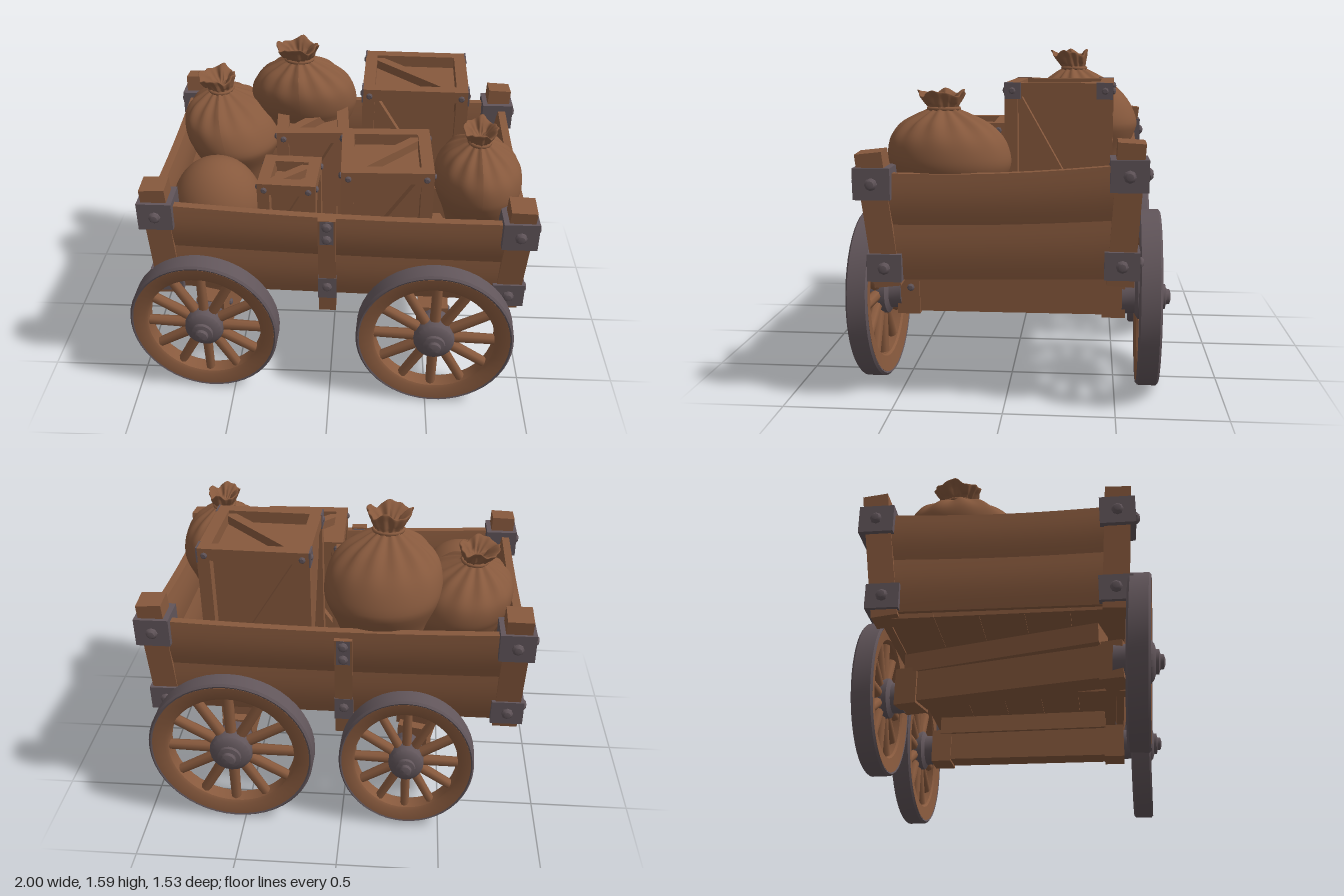
import * as THREE from 'three';
import { toCreasedNormals } from 'three/addons/utils/BufferGeometryUtils.js';

const wood = new THREE.MeshStandardMaterial({ color: 0x87593d });
const iron = new THREE.MeshStandardMaterial({ color: 0x61555a });
wood.name = 'brownWood';
iron.name = 'greyIron';

const V = (x, y, z) => new THREE.Vector3(x, y, z);

function add(parent, name, geometry, material, x = 0, y = 0, z = 0) {
  const mesh = new THREE.Mesh(geometry, material);
  mesh.name = name;
  mesh.position.set(x, y, z);
  parent.add(mesh);
  return mesh;
}

const box = (parent, name, w, h, d, material, x, y, z) =>
  add(parent, name, new THREE.BoxGeometry(w, h, d), material, x, y, z);

// Surface of revolution with sharp steps, axis along z
function turned(profile, segments) {
  const g = new THREE.LatheGeometry(profile.map(p => new THREE.Vector2(...p)), segments);
  g.rotateX(Math.PI / 2);
  return toCreasedNormals(g, 0.6);
}

// Lying square bar whose length runs from a to b
function beam(parent, name, a, b, w, h, material) {
  const mesh = box(parent, name, w, h, a.distanceTo(b), material);
  mesh.position.copy(a).lerp(b, 0.5);
  mesh.lookAt(b);
}

// Standing square bar from a up to b
function post(parent, name, a, b, w, d, material) {
  const mesh = box(parent, name, w, a.distanceTo(b), d, material);
  mesh.position.copy(a).lerp(b, 0.5);
  mesh.quaternion.setFromUnitVectors(V(0, 1, 0), b.clone().sub(a).normalize());
}

// Domed bolt pointing along a unit direction
function bolt(parent, pos, dir, r = 0.028) {
  const g = turned([[0, -0.02], [r, -0.02], [r, r * 0.3], [r * 0.6, r * 0.7], [0, r * 0.8]], 8);
  const mesh = add(parent, 'bolt', g, iron);
  mesh.position.copy(pos);
  mesh.quaternion.setFromUnitVectors(V(0, 0, 1), dir);
}

// Spoked wheel with iron tyre and domed hub, outside facing +z
function makeWheel(name) {
  const wheel = new THREE.Group();
  wheel.name = name;
  add(wheel, 'tyre', turned([[0.38, -0.048], [0.39, -0.052], [0.4, -0.042], [0.4, 0.042],
    [0.39, 0.052], [0.38, 0.048], [0.38, -0.048]], 48), iron);
  add(wheel, 'rim', turned([[0.31, -0.04], [0.382, -0.05], [0.382, 0.05], [0.322, 0.044],
    [0.308, 0.034], [0.302, -0.03], [0.31, -0.04]], 48), wood);
  add(wheel, 'hub', turned([[0, -0.12], [0.08, -0.12], [0.08, -0.06], [0.105, -0.045], [0.105, 0.03], [0.098, 0.05],
    [0.08, 0.064], [0.058, 0.07], [0.056, 0.085], [0.036, 0.09], [0.033, 0.106], [0.015, 0.112], [0, 0.112]], 20), iron);
  for (let i = 0; i < 12; i++) {
    const spoke = new THREE.CylinderGeometry(0.025, 0.028, 0.25, 8);
    spoke.translate(0, 0.2, 0);
    add(wheel, 'spoke', spoke, wood).rotation.z = -i * Math.PI / 6;
  }
  return wheel;
}

// Crate: recessed panels, edge rails, diagonal braces and bolts
function makeCrate(w, h, d, slope, ironCorners) {
  const crate = new THREE.Group();
  crate.name = 'crate';
  const t = 0.06, size = [w, h, d];
  box(crate, 'panels', w - 0.12, h - 0.12, d - 0.12, wood, 0, 0, 0);
  for (let axis = 0; axis < 3; axis++) {
    const [j, k] = [(axis + 1) % 3, (axis + 2) % 3];
    for (const s of [-1, 1]) for (const q of [-1, 1]) {
      const dims = [t, t, t], pos = [0, 0, 0];
      dims[axis] = size[axis] - 0.004 * axis;
      pos[j] = s * (size[j] - t) / 2;
      pos[k] = q * (size[k] - t) / 2;
      box(crate, 'edgeRail', ...dims, wood, ...pos);
    }
  }
  const brace = (a, b) => Math.hypot(a - t, b - t);
  for (const s of [-1, 1]) {
    box(crate, 'brace', brace(w, h), 0.05, 0.05, wood, 0, 0, s * (d / 2 - 0.04))
      .rotation.z = slope * Math.atan2(h - t, w - t);
    box(crate, 'brace', 0.05, 0.05, brace(d, h), wood, s * (w / 2 - 0.04), 0, 0)
      .rotation.x = slope * Math.atan2(h - t, d - t);
    for (const q of [-1, 1]) {
      const y = h / 2 - 0.035;
      bolt(crate, V(s * (w / 2 - 0.035), y, q * d / 2), V(0, 0, q), 0.016);
      bolt(crate, V(s * w / 2, y, q * (d / 2 - 0.035)), V(s, 0, 0), 0.016);
      if (ironCorners) box(crate, 'cornerPlate', 0.008, 0.075, 0.075, iron, s * w / 2, y, q * (d / 2 - 0.037));
    }
  }
  box(crate, 'topBrace', brace(w, d), 0.05, 0.05, wood, 0, h / 2 - 0.04, 0)
    .rotation.y = slope * Math.atan2(d - t, w - t);
  return crate;
}

// Tied sack: a turned shape with pleats gathered at the neck, leaning by (dx, dz)
function makeSack(rx, rz, h, dx, dz) {
  const sack = new THREE.Group();
  sack.name = 'sack';
  const key = [[0, -0.7], [0.4, -0.66], [0.62, -0.3], [0.78, 0.1], [0.96, 0.45], [1, 0.68], [0.92, 0.95], [0.69, 1.17],
    [0.4, 1.32], [0.24, 1.4], [0.27, 1.48], [0.38, 1.64], [0.3, 1.62], [0.12, 1.48], [0, 1.46]];
  const curve = new THREE.SplineCurve(key.map(p => new THREE.Vector2(...p)));
  const pts = curve.getPoints(60);
  pts.forEach(p => { p.x = Math.max(0, p.x); });
  const g = new THREE.LatheGeometry(pts, 84);
  const p = g.attributes.position;
  for (let i = 0; i < p.count; i++) {
    const x = p.getX(i), y = p.getY(i), z = p.getZ(i);
    const a = Math.atan2(x, z);
    const gather = Math.exp(-(((y - 1.38) / 0.28) ** 2));
    const k = 1 + gather * (0.09 * Math.cos(13 * a) + 0.05 * Math.sin(5 * a + 1));
    const lean = Math.max(0, y - 0.5) / 0.9;
    const flare = y > 1.5 ? 0.04 * Math.cos(4 * a + 0.5) + 0.02 * Math.sin(7 * a) : 0;
    p.setXYZ(i, x * k * rx + dx * lean, (y + flare) * h, z * k * rz + dz * lean);
  }
  g.computeVertexNormals();
  add(sack, 'cloth', g, wood);
  const tie = new THREE.TorusGeometry(0.25, 0.03, 8, 28);
  tie.rotateX(Math.PI / 2);
  tie.scale(rx, 0.3, rz);
  add(sack, 'tie', tie, wood, dx, 1.4 * h, dz);
  return sack;
}

export function createModel() {
  const wagon = new THREE.Group();
  wagon.name = 'wagon';

  // Corners in order: front -x, front +x, back +x, back -x
  const corners = [
    { low: V(-0.8, 0.61, 0.51), high: V(-0.82, 1.11, 0.54) },
    { low: V(0.87, 0.585, 0.52), high: V(0.89, 1.07, 0.575) },
    { low: V(0.87, 0.61, -0.515), high: V(0.895, 1.12, -0.545) },
    { low: V(-0.8, 0.62, -0.53), high: V(-0.81, 1.14, -0.595) },
  ];

  // Corner posts with iron brackets
  for (const { low, high } of corners) {
    const sx = Math.sign(low.x), sz = Math.sign(low.z);
    const at = t => low.clone().lerp(high, t);
    post(wagon, 'cornerPost', at(-0.05), at(1.19), 0.12, 0.12, wood);
    for (const [t, w, h] of [[0.91, 0.165, 0.14], [0.13, 0.155, 0.125]]) {
      const c = at(t);
      box(wagon, 'cornerBracket', w, h, w, iron, c.x, c.y, c.z);
      bolt(wagon, c.clone().add(V(0, 0, sz * w / 2)), V(0, 0, sz));
      bolt(wagon, c.clone().add(V(sx * w / 2, 0, 0)), V(sx, 0, 0));
    }
  }

  // Walls: two slightly rounded planks between neighbouring posts
  corners.forEach((a, i) => {
    const b = corners[(i + 1) % 4];
    const out = b.low.clone().sub(a.low).cross(V(0, 1, 0)).normalize();
    for (const [v0, v1] of [[0, 0.53], [0.52, 1]]) {
      const g = new THREE.BoxGeometry(1, 1, 1, 8, 6, 1);
      const p = g.attributes.position;
      for (let n = 0; n < p.count; n++) {
        const u = p.getX(n) + 0.5, s = p.getY(n) + 0.5, w = p.getZ(n);
        const v = v0 + (v1 - v0) * s;
        const q = a.low.clone().lerp(b.low, u).lerp(a.high.clone().lerp(b.high, u), v);
        q.addScaledVector(out, 0.02 + w * (0.04 + 0.025 * Math.sin(Math.PI * s)));
        q.y -= 0.02 * v * Math.sin(Math.PI * u);
        p.setXYZ(n, q.x, q.y, q.z);
      }
      add(wagon, 'wallPlank', toCreasedNormals(g, 0.7), wood);
    }
  });

  // Floor planks and cross beam
  for (let i = 0; i < 5; i++) box(wagon, 'floorPlank', 1.7, 0.045, 0.204, wood, 0.03, 0.618, (i - 2) * 0.205);
  box(wagon, 'crossBeam', 0.08, 0.08, 1.12, wood, -0.01, 0.56, 0);

  // Middle uprights on the long walls, with iron plates
  for (const s of [-1, 1]) {
    post(wagon, 'middleUpright', V(-0.01, 0.515, s * 0.56), V(-0.01, 1.08, s * 0.605), 0.085, 0.06, wood);
    for (const [y, w, h, z, bolts] of [[1.01, 0.065, 0.13, 0.6, [-0.035, 0.035]], [0.665, 0.09, 0.12, 0.573, [0.01]]]) {
      box(wagon, 'uprightPlate', w, h, 0.072, iron, -0.01, y, s * z);
      for (const dy of bolts) bolt(wagon, V(-0.01, y + dy, s * (z + 0.036)), V(0, 0, s), 0.024);
    }
  }

  // Wheels: name, x, y, z, half width, half height, camber, turn
  const wheels = [
    ['frontWheelRight', -0.63, 0.42, 0.61, 0.375, 0.412, 0.065, -0.05],
    ['frontWheelLeft', 0.525, 0.42, 0.65, 0.39, 0.414, 0.03, -0.05],
    ['backWheelLeft', 0.55, 0.43, -0.655, 0.415, 0.42, 0, Math.PI - 0.02],
    ['backWheelRight', -0.325, 0.41, -0.655, 0.335, 0.385, 0, Math.PI - 0.03],
  ];
  for (const [name, x, y, z, rx, ry, camber, turn] of wheels) {
    const wheel = makeWheel(name);
    wheel.position.set(x, y, z);
    wheel.scale.set(rx / 0.4, ry / 0.4, 1);
    wheel.rotation.set(camber, turn, 0);
    wagon.add(wheel);
  }

  // Axle beams with end blocks and bolsters up to the floor
  for (const [xf, xb] of [[-0.61, -0.35], [0.52, 0.54]]) {
    const front = V(xf, 0.42, 0.55), back = V(xb, 0.43, -0.55);
    const at = t => front.clone().lerp(back, t);
    beam(wagon, 'axle', front, back, 0.13, 0.16, wood);
    beam(wagon, 'axleEnd', front, at(0.1), 0.15, 0.185, wood);
    beam(wagon, 'axleEnd', at(0.9), back, 0.15, 0.185, wood);
    beam(wagon, 'bolster', V(xf, 0.55, 0.45), V(xb, 0.55, -0.5), 0.17, 0.1, wood);
    bolt(wagon, at(0.06).add(V(0.075, 0.04, 0)), V(1, 0, 0), 0.018);
  }

  // Crates: x, z, width, depth, bottom, top, turn, brace slope, iron corners
  const crates = [
    [0.41, -0.235, 0.53, 0.49, 0.63, 1.45, -0.03, -1, true],
    [0.265, 0.255, 0.44, 0.44, 0.63, 1.25, 0.02, 1, false],
    [-0.12, -0.12, 0.37, 0.4, 0.63, 1.24, 0.06, 1, false],
    [-0.215, 0.235, 0.29, 0.29, 0.63, 1.11, -0.05, 1, false],
  ];
  for (const [x, z, w, d, y0, y1, turn, slope, ironCorners] of crates) {
    const crate = makeCrate(w, y1 - y0, d, slope, ironCorners);
    crate.position.set(x, (y0 + y1) / 2, z);
    crate.rotation.y = turn;
    wagon.add(crate);
  }

  // Sacks: x, base y, z, half width, half depth, height scale, neck lean
  const sacks = [
    [-0.18, 1.02, -0.375, 0.283, 0.255, 0.335, -0.02, 0.095],
    [-0.55, 0.92, -0.215, 0.25, 0.305, 0.29, -0.07, -0.03],
    [0.715, 0.93, 0.26, 0.215, 0.28, 0.29, -0.01, 0.03],
  ];
  for (const [x, y, z, ...shape] of sacks) {
    const sack = makeSack(...shape);
    sack.position.set(x, y, z);
    wagon.add(sack);
  }
  const lying = add(wagon, 'lyingSack', new THREE.SphereGeometry(1, 32, 20), wood, -0.585, 0.9, 0.25);
  lying.scale.set(0.23, 0.27, 0.22);

  return wagon;
}
